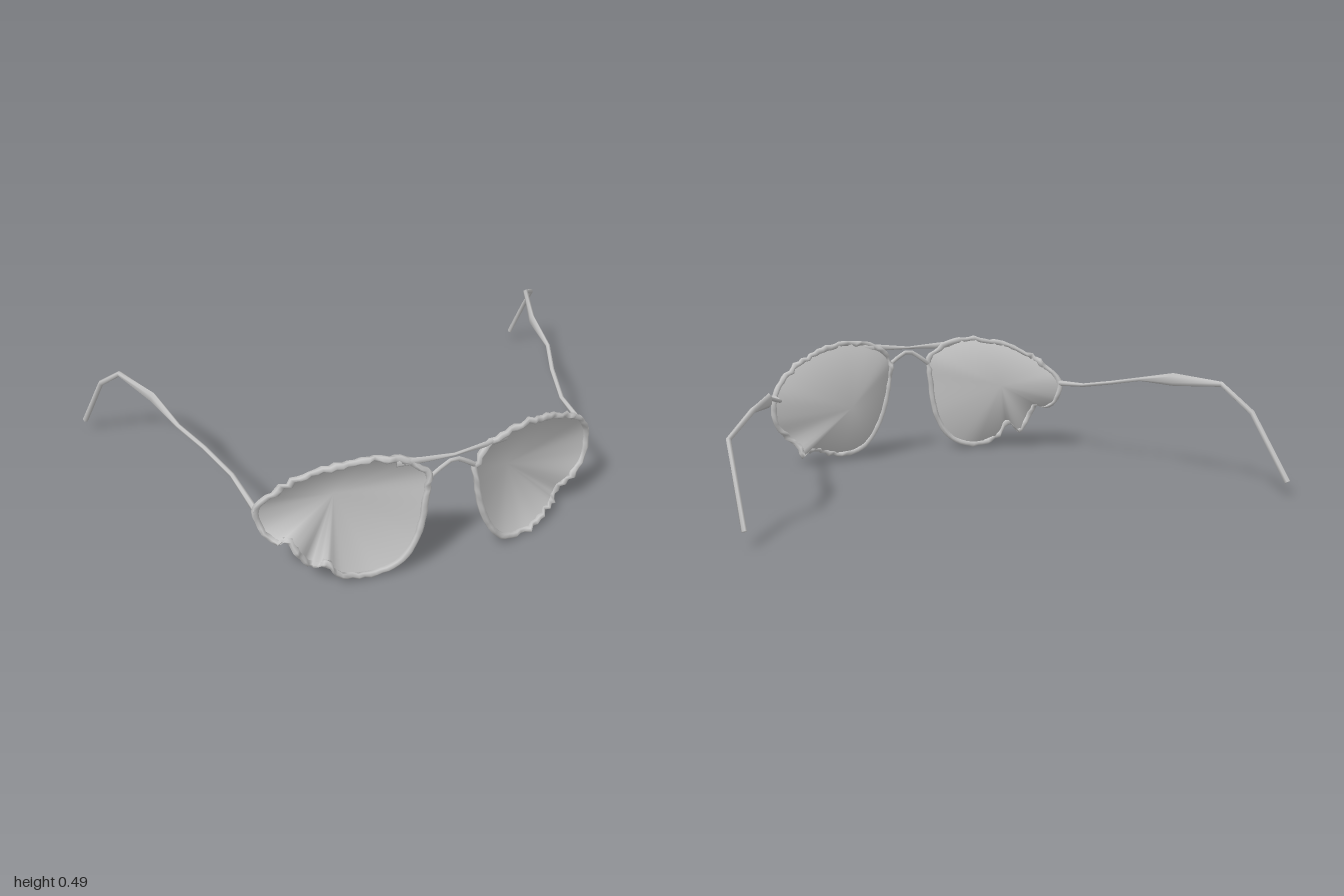
import * as THREE from 'three';

const frameGrey = new THREE.MeshStandardMaterial({ color: 0xc4c4c4, side: THREE.DoubleSide });
frameGrey.name = 'frameGrey';
const V = (x, y, z) => new THREE.Vector3(x, y, z);

// small seeded noise, -1..1
let seed = 7;
const noise = () => {
  seed = (seed * 16807) % 2147483647;
  return (seed / 2147483647) * 2 - 1;
};

// skin a list of rings (equal point counts)
function loft(rings, closed) {
  const n = rings[0].length, m = rings.length, pos = [], idx = [];
  rings.forEach(r => r.forEach(p => pos.push(p.x, p.y, p.z)));
  for (let i = 0; i < (closed ? m : m - 1); i++) {
    for (let j = 0; j < n; j++) {
      const a = i * n + j, b = i * n + (j + 1) % n;
      const k = ((i + 1) % m) * n, c = k + j, d = k + (j + 1) % n;
      idx.push(a, b, c, b, d, c);
    }
  }
  if (!closed) {
    for (let j = 1; j < n - 1; j++) {
      idx.push(0, j + 1, j);
      const k = (m - 1) * n;
      idx.push(k, k + j, k + j + 1);
    }
  }
  const g = new THREE.BufferGeometry();
  g.setAttribute('position', new THREE.Float32BufferAttribute(pos, 3));
  g.setIndex(idx);
  g.computeVertexNormals();
  return g;
}

// elliptical ring spanned by two axes
function ring(c, u, v, ru, rv, n = 6) {
  return Array.from({ length: n }, (_, j) => {
    const t = (j + 0.5) / n * Math.PI * 2;
    return c.clone().addScaledVector(u, Math.cos(t) * ru).addScaledVector(v, Math.sin(t) * rv);
  });
}

// bar through rows of [x, y, z, width, height]
function bar(rows) {
  const pts = rows.map(r => V(r[0], r[1], r[2]));
  return loft(rows.map((r, i) => {
    const t = pts[Math.min(i + 1, pts.length - 1)].clone().sub(pts[Math.max(i - 1, 0)]).normalize();
    const side = V(0, 1, 0).cross(t).normalize();
    const up = t.clone().cross(side);
    return ring(pts[i], side, up, r[3] / 2, r[4] / 2);
  }), false);
}

// front curvature of the frame
const wrapZ = x => 0.668 - 0.42 * x * x;

// outlines: [x, y, z offset], from the nose over the top to the outside
const leftOutline = [
  [0.08, 0.41], [0.14, 0.468], [0.29, 0.495], [0.46, 0.45], [0.57, 0.385], [0.632, 0.3],
  [0.63, 0.2], [0.575, 0.12, -0.01], [0.535, 0.09, -0.035], [0.515, 0.04, -0.055],
  [0.47, 0.055, -0.02], [0.385, 0.03], [0.29, 0.012], [0.2, 0.045], [0.13, 0.145], [0.085, 0.305],
];
const rightOutline = [
  [-0.085, 0.41], [-0.15, 0.47], [-0.3, 0.495], [-0.47, 0.45], [-0.59, 0.37], [-0.645, 0.3],
  [-0.63, 0.22], [-0.59, 0.18, 0.02], [-0.56, 0.195, 0.02], [-0.53, 0.135, 0.03],
  [-0.485, 0.07, 0], [-0.45, 0.115, 0.045], [-0.4, 0.05, 0.03], [-0.28, 0.018],
  [-0.19, 0.045], [-0.12, 0.145], [-0.09, 0.305],
];

function eyepiece(outline, apex, name) {
  const group = new THREE.Group();
  group.name = name;
  const centre = V(apex.x, 0.25, 0);
  const curve = new THREE.CatmullRomCurve3(outline.map(([x, y, dz = 0]) =>
    V(centre.x + (x - centre.x) * 0.965, centre.y + (y - centre.y) * 0.965, wrapZ(x) + dz)), true);
  const N = 84;
  const edge = curve.getSpacedPoints(N).slice(0, N);

  // lumpy rim, rougher on the top and the outer lower corner
  const rings = edge.map(p => {
    const out = V(p.x - centre.x, p.y - centre.y, 0).normalize();
    const rough = p.y > 0.36 || (p.y < 0.22 && Math.abs(p.x) > 0.28) ? 1 : 0.25;
    const c = p.clone().addScaledVector(out, noise() * 0.005 * rough);
    c.z += noise() * 0.009 * rough;
    return ring(c, out, V(0, 0, 1), 0.012 + noise() * 0.003 * rough, 0.013 + noise() * 0.004 * rough);
  });
  const rim = new THREE.Mesh(loft(rings, true), frameGrey);
  rim.name = 'rim';

  // lens: a shallow fan drawn back to one point
  const pos = [], idx = [];
  edge.forEach(p => pos.push(p.x, p.y, p.z));
  pos.push(apex.x, apex.y, apex.z);
  for (let i = 0; i < N; i++) {
    if (apex.x > 0) idx.push(i, N, (i + 1) % N);
    else idx.push(i, (i + 1) % N, N);
  }
  // winding is chosen so both lenses face the front
  for (let i = 0; i < idx.length; i += 3) [idx[i + 1], idx[i + 2]] = [idx[i + 2], idx[i + 1]];
  const g = new THREE.BufferGeometry();
  g.setAttribute('position', new THREE.Float32BufferAttribute(pos, 3));
  g.setIndex(idx);
  g.computeVertexNormals();
  const lens = new THREE.Mesh(g, frameGrey);
  lens.name = 'lens';
  group.add(rim, lens);
  return group;
}

export function createModel() {
  const model = new THREE.Group();
  model.name = 'glasses';
  const add = (geometry, name) => {
    const mesh = new THREE.Mesh(geometry, frameGrey);
    mesh.name = name;
    model.add(mesh);
  };

  model.add(eyepiece(leftOutline, V(0.3, 0.235, 0.5), 'leftEyepiece'));
  model.add(eyepiece(rightOutline, V(-0.365, 0.295, 0.505), 'rightEyepiece'));

  // bridge: straight brow bar and small arch over the nose
  const browBar = [-0.2, -0.12, 0, 0.12, 0.2].map(x =>
    [x, 0.457 + Math.abs(x) * 0.04, wrapZ(x), 0.014, 0.01 + Math.abs(x) * 0.12]);
  add(bar(browBar), 'browBar');
  const arch = [[-0.09, 0.385], [-0.05, 0.415], [-0.015, 0.436], [0.015, 0.436], [0.05, 0.415], [0.09, 0.385]];
  add(bar(arch.map(([x, y]) => [x, y, wrapZ(x), 0.014, 0.018])), 'noseArch');

  // temples: thin arms with a taller blade before the ear bend
  add(bar([
    [0.625, 0.295, 0.5, 0.022, 0.024], [0.645, 0.31, 0.29, 0.018, 0.015], [0.695, 0.338, 0.13, 0.018, 0.015],
    [0.75, 0.365, 0, 0.018, 0.015], [0.785, 0.384, -0.19, 0.022, 0.05], [0.885, 0.388, -0.42, 0.02, 0.02],
    [0.985, 0.32, -0.54, 0.018, 0.02], [0.97, 0.06, -0.675, 0.018, 0.022],
  ]), 'leftTemple');
  add(bar([
    [-0.635, 0.295, 0.5, 0.022, 0.024], [-0.65, 0.31, 0.29, 0.018, 0.015], [-0.7, 0.338, 0.13, 0.018, 0.015],
    [-0.755, 0.365, 0, 0.018, 0.015], [-0.795, 0.384, -0.19, 0.022, 0.05], [-0.87, 0.388, -0.41, 0.02, 0.02],
    [-0.925, 0.295, -0.53, 0.02, 0.022], [-0.985, 0.06, -0.675, 0.025, 0.022],
  ]), 'rightTemple');

  return model;
}
